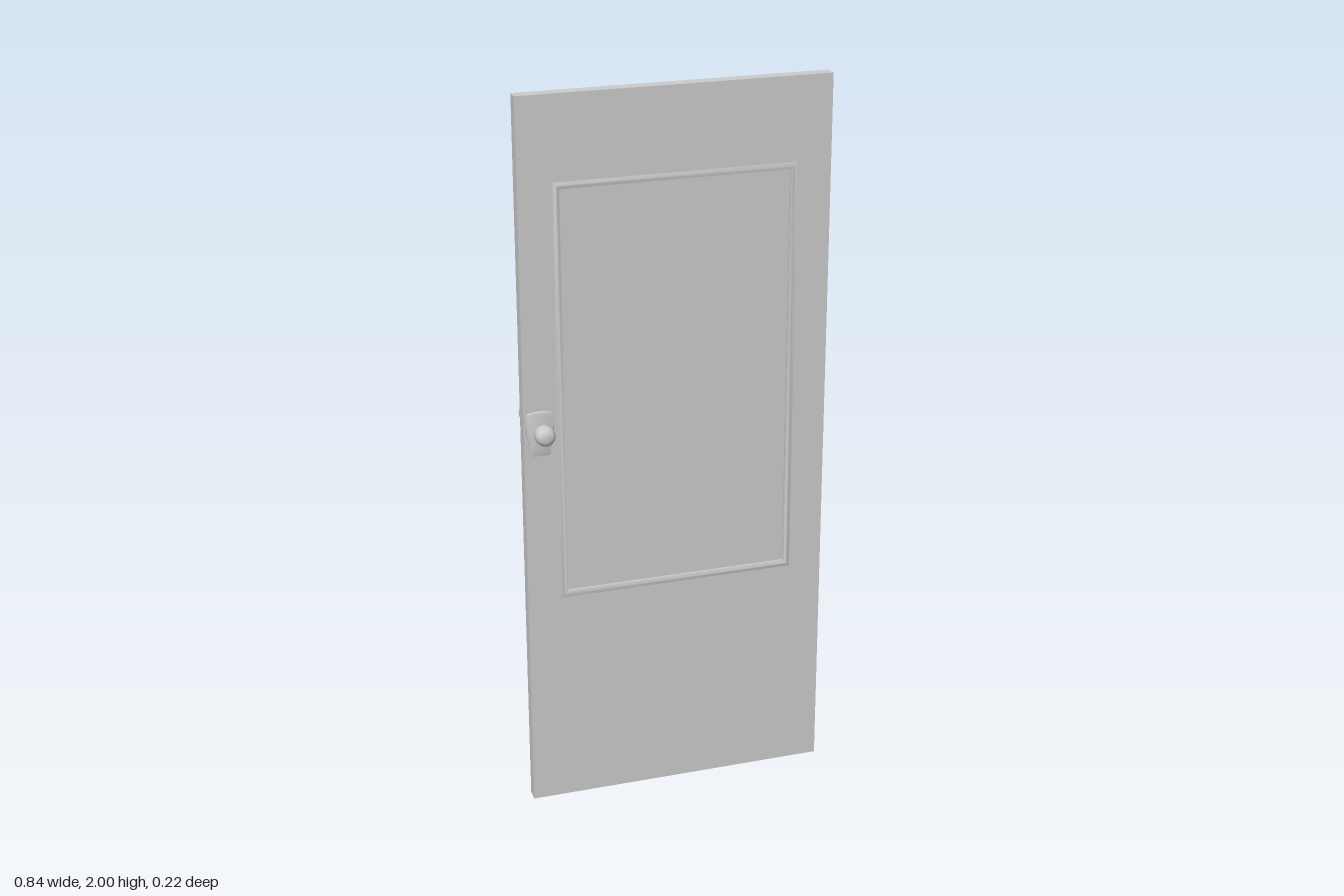
import * as THREE from 'three';
import { toCreasedNormals } from 'three/addons/utils/BufferGeometryUtils.js';

const MAT = new THREE.MeshStandardMaterial({ color: 0xcccccc });

const DOOR = { halfW: 0.42, height: 2, depth: 0.036, midZ: 0.01 };
const PANEL = { halfW: 0.309, halfH: 0.56, midY: 1.195, recess: 0.006 };
const KNOB = { x: -0.377, y: 1.118 };

function addMesh(parent, name, geometry) {
  const mesh = new THREE.Mesh(geometry, MAT);
  mesh.name = name;
  parent.add(mesh);
  return mesh;
}

// Rectangular mitred frame swept from [inset, height] profile points, outside to inside.
function frameGeometry(halfW, halfH, profile) {
  const ring = ([d, z]) => [[-1, -1], [1, -1], [1, 1], [-1, 1]]
    .map(([sx, sy]) => [sx * (halfW - d), sy * (halfH - d), z]);
  const pos = [];
  for (let i = 0; i < profile.length - 1; i++) {
    const a = ring(profile[i]), b = ring(profile[i + 1]);
    for (let j = 0; j < 4; j++) {
      const k = (j + 1) % 4;
      pos.push(...a[j], ...a[k], ...b[k], ...a[j], ...b[k], ...b[j]);
    }
  }
  const geo = new THREE.BufferGeometry();
  geo.setAttribute('position', new THREE.Float32BufferAttribute(pos, 3));
  return toCreasedNormals(geo, 0.7);
}

// Slab with a rectangular opening for the panel.
function slabGeometry() {
  const { halfW, height, depth } = DOOR;
  const shape = new THREE.Shape([[-halfW, 0], [halfW, 0], [halfW, height], [-halfW, height]]
    .map(p => new THREE.Vector2(...p)));
  const w = PANEL.halfW, lo = PANEL.midY - PANEL.halfH, hi = PANEL.midY + PANEL.halfH;
  shape.holes.push(new THREE.Path([[-w, lo], [-w, hi], [w, hi], [w, lo]]
    .map(p => new THREE.Vector2(...p))));
  return new THREE.ExtrudeGeometry(shape, { depth, bevelEnabled: false })
    .translate(0, 0, DOOR.midZ - depth / 2);
}

// Backplate: broad rounded head narrowing to a smaller rounded foot.
function plateGeometry() {
  const s = new THREE.Shape();
  s.moveTo(-0.018, -0.077);
  s.lineTo(0.018, -0.077);
  s.quadraticCurveTo(0.028, -0.075, 0.028, -0.062);
  s.bezierCurveTo(0.028, -0.035, 0.0365, -0.03, 0.0365, -0.005);
  s.lineTo(0.0365, 0.034);
  s.quadraticCurveTo(0.0365, 0.043, 0.026, 0.045);
  s.quadraticCurveTo(0, 0.05, -0.026, 0.045);
  s.quadraticCurveTo(-0.0365, 0.043, -0.0365, 0.034);
  s.lineTo(-0.0365, -0.005);
  s.bezierCurveTo(-0.0365, -0.03, -0.028, -0.035, -0.028, -0.062);
  s.quadraticCurveTo(-0.028, -0.075, -0.018, -0.077);
  const geo = new THREE.ExtrudeGeometry(s, {
    depth: 0.009, curveSegments: 8, bevelThickness: 0.0015, bevelSize: 0.0015,
    bevelOffset: -0.0015, bevelSegments: 2,
  });
  return toCreasedNormals(geo.translate(0, 0, 0.0255), 0.6);
}

// Squarish ball, spun around the z axis.
function knobGeometry() {
  const points = [], r = 0.027, n = 16, e = 0.75;
  for (let i = 0; i <= n; i++) {
    const t = Math.PI * i / n, c = -Math.cos(t);
    const x = i % n === 0 ? 0 : r * Math.pow(Math.sin(t), e);
    points.push(new THREE.Vector2(x, r * Math.sign(c) * Math.pow(Math.abs(c), e)));
  }
  return new THREE.LatheGeometry(points, 32).rotateX(Math.PI / 2).translate(0, 0, 0.082);
}

function handleSet(name) {
  const g = new THREE.Group();
  g.name = name;
  addMesh(g, 'backplate', plateGeometry());
  addMesh(g, 'knobStem', new THREE.CylinderGeometry(0.0045, 0.0045, 0.034, 16)
    .rotateX(Math.PI / 2).translate(0, 0, 0.047));
  addMesh(g, 'knob', knobGeometry());
  return g;
}

export function createModel() {
  const model = new THREE.Group();
  model.name = 'door';

  addMesh(model, 'doorSlab', slabGeometry());
  addMesh(model, 'recessedPanel', new THREE.BoxGeometry(
    PANEL.halfW * 2, PANEL.halfH * 2, DOOR.depth - PANEL.recess * 2)
    .translate(0, PANEL.midY, DOOR.midZ));

  // Raised moulding around the panel, on both faces
  const profile = [[0, 0], [0.003, 0.0018], [0.007, 0.0032], [0.011, 0.0036],
    [0.016, 0.003], [0.018, 0.0015], [0.019, -PANEL.recess]];
  const moulding = frameGeometry(PANEL.halfW + 0.019, PANEL.halfH + 0.019, profile)
    .translate(0, 0, DOOR.depth / 2);
  for (const [name, turn] of [['frontMoulding', 0], ['backMoulding', Math.PI]]) {
    const mesh = addMesh(model, name, moulding);
    mesh.position.set(0, PANEL.midY, DOOR.midZ);
    mesh.rotation.y = turn;
  }

  // Knob and plate on both faces
  for (const [name, turn] of [['frontHandle', 0], ['backHandle', Math.PI]]) {
    const handle = handleSet(name);
    handle.position.set(KNOB.x, KNOB.y, 0);
    handle.rotation.y = turn;
    model.add(handle);
  }
  return model;
}
